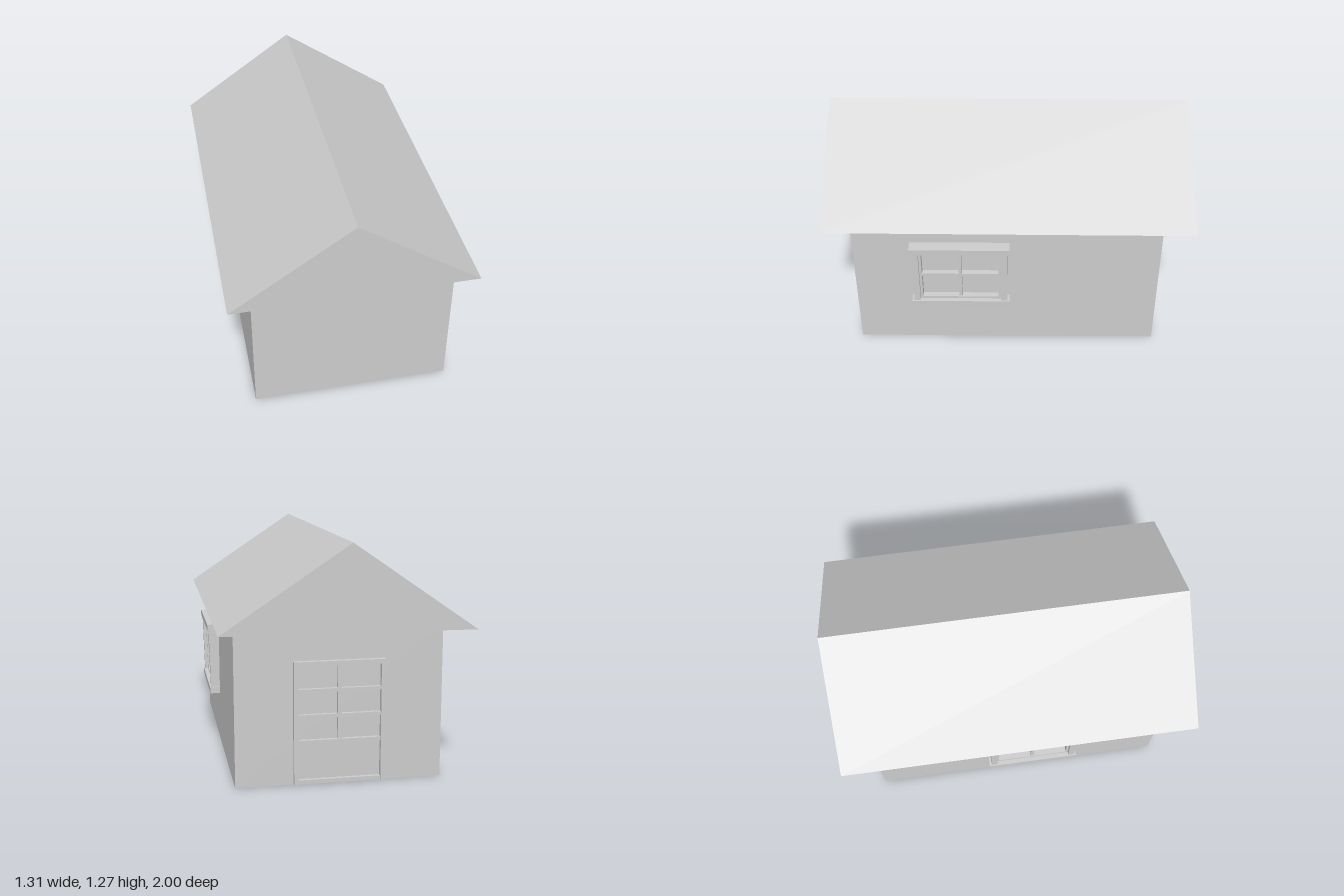
import * as THREE from 'three';

const material = new THREE.MeshStandardMaterial({ color: 0xcccccc, flatShading: true });

// Box given by its minimum and maximum along each axis
function box(name, [x0, x1], [y0, y1], [z0, z1]) {
  const mesh = new THREE.Mesh(new THREE.BoxGeometry(x1 - x0, y1 - y0, z1 - z0), material);
  mesh.name = name;
  mesh.position.set((x0 + x1) / 2, (y0 + y1) / 2, (z0 + z1) / 2);
  return mesh;
}

// Window facing +z, centred on the wall surface at its own origin
function createWindow(name, width, height, depth) {
  const group = new THREE.Group();
  group.name = name;
  const w = width / 2, h = height / 2, rail = 0.036, back = -0.02;
  const postOut = w - 0.012, postIn = postOut - 0.035, sashIn = postIn - 0.014;
  const inner = h - rail, sashTop = inner - 0.014;
  group.add(
    box('windowSill', [-w, w], [-h, -inner], [back, depth]),
    box('windowHead', [-w, w], [inner, h], [back, depth]),
  );
  for (const s of [-1, 1]) {
    const side = (a, b) => (s > 0 ? [a, b] : [-b, -a]);
    group.add(
      box('windowPost', side(postIn, postOut), [-inner, inner], [back, depth - 0.007]),
      box('sashStile', side(sashIn, postIn), [-inner, inner], [back, depth - 0.025]),
      box('sashRail', [-sashIn, sashIn], side(sashTop, inner), [back, depth - 0.025]),
    );
  }
  group.add(
    box('verticalGlazingBar', [-0.009, 0.009], [-sashTop, sashTop], [back, depth - 0.03]),
    box('horizontalGlazingBar', [-sashIn, sashIn], [-0.009, 0.009], [back, depth - 0.032]),
  );
  return group;
}

// Door facing +z, standing on its own origin
function createDoor(width, height) {
  const group = new THREE.Group();
  group.name = 'door';
  const w = width / 2, frame = 0.024, inner = w - frame, back = -0.02;
  const bars = [0.225, 0.36, 0.495];
  group.add(
    box('doorJamb', [-w, -inner], [0, height], [back, 0.027]),
    box('doorJamb', [inner, w], [0, height], [back, 0.027]),
    box('doorHead', [-inner, inner], [height - frame, height], [back, 0.027]),
    box('doorBottomRail', [-inner, inner], [0, 0.022], [back, 0.02]),
    box('doorMullion', [-0.011, 0.011], [bars[0], height - frame], [back, 0.018]),
  );
  for (const y of bars) {
    group.add(box('doorBar', [-inner, inner], [y - 0.009, y + 0.009], [back, 0.02]));
  }
  return group;
}

// Solid gabled roof, very slightly out of level
function createRoof() {
  const gable = new THREE.Shape([
    new THREE.Vector2(-0.653, 0),
    new THREE.Vector2(0.653, 0),
    new THREE.Vector2(-0.003, 0.443),
  ]);
  const geometry = new THREE.ExtrudeGeometry(gable, { depth: 2, bevelEnabled: false });
  geometry.translate(0, 0, -1);
  const roof = new THREE.Mesh(geometry, material);
  roof.name = 'roof';
  roof.position.y = 0.826;
  roof.rotation.set(-0.003, 0, 0.006);
  return roof;
}

export function createModel() {
  const house = new THREE.Group();
  house.name = 'house';
  house.add(box('walls', [-0.522, 0.567], [0.003, 0.829], [-0.838, 0.852]), createRoof());

  // Side windows; the left one leans outward a little
  const leftWindow = createWindow('leftWindow', 0.545, 0.412, 0.062);
  leftWindow.position.set(0.567, 0.498, 0.264);
  leftWindow.rotation.set(0, Math.PI / 2, -0.025, 'ZYX');
  const rightWindow = createWindow('rightWindow', 0.53, 0.38, 0.065);
  rightWindow.position.set(-0.522, 0.45, 0.09);
  rightWindow.rotation.y = -Math.PI / 2;

  // Back door
  const door = createDoor(0.48, 0.648);
  door.position.set(0.025, 0.008, -0.838);
  door.rotation.y = Math.PI;

  house.add(leftWindow, rightWindow, door);
  return house;
}
